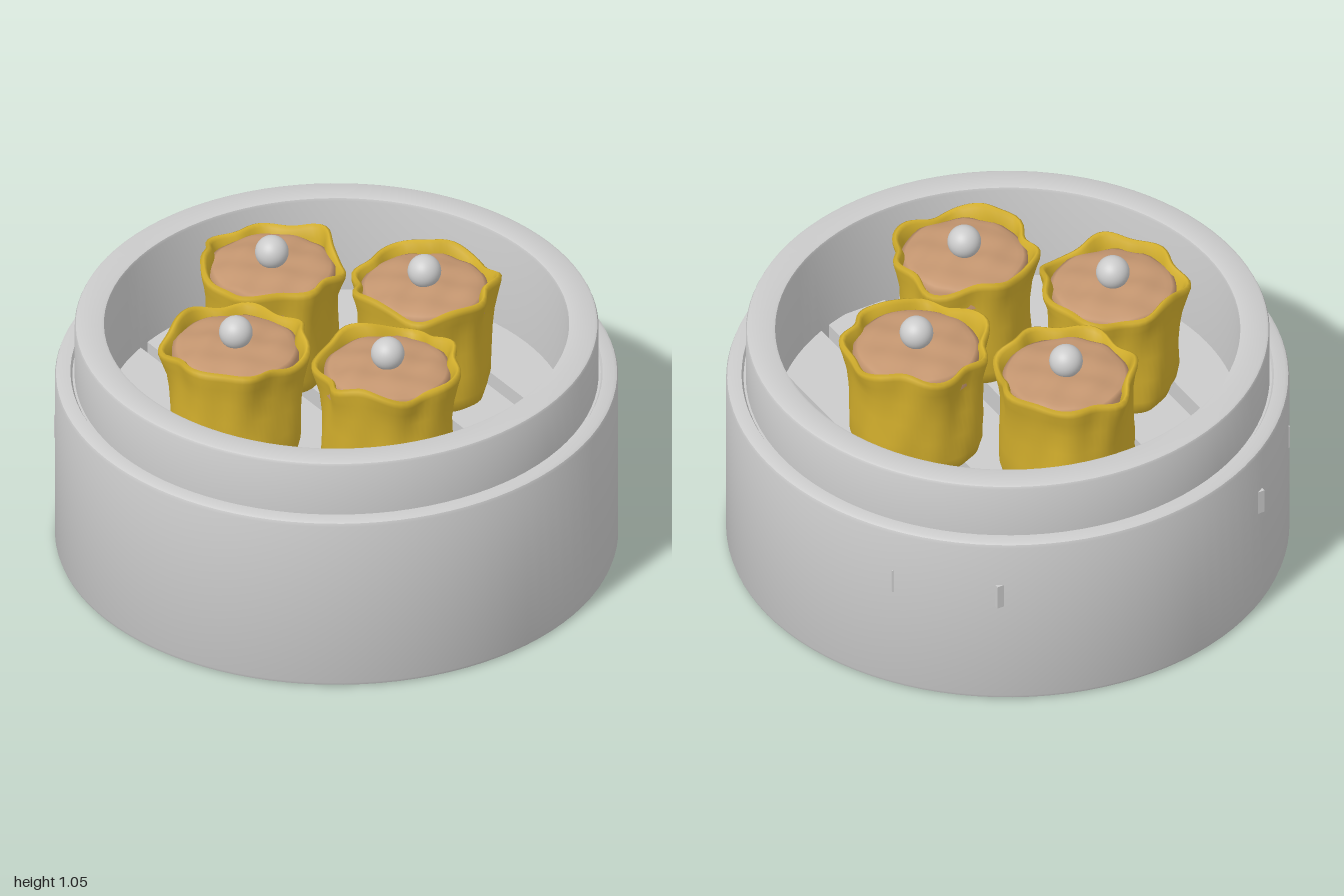
import * as THREE from 'three';
import { mergeVertices, toCreasedNormals } from 'three/addons/utils/BufferGeometryUtils.js';

const grey = new THREE.MeshStandardMaterial({ color: 0xcccccc });
const doughMat = new THREE.MeshStandardMaterial({ color: 0xd2ae2c, side: THREE.DoubleSide });
const meatMat = new THREE.MeshStandardMaterial({ color: 0xc49670 });

function addMesh(parent, name, geometry, material, x = 0, y = 0, z = 0) {
  const mesh = new THREE.Mesh(geometry, material);
  mesh.name = name;
  mesh.position.set(x, y, z);
  parent.add(mesh);
  return mesh;
}

const lathe = (pts, n) => new THREE.LatheGeometry(pts.map(p => new THREE.Vector2(...p)), n);

// Weld a lathe, then move each vertex by rule(radius, angle, y) -> [radius, y]
function warpedLathe(points, segments, rule) {
  let g = lathe(points, segments);
  g.deleteAttribute('uv');
  g.deleteAttribute('normal');
  g = mergeVertices(g, 1e-4);
  const p = g.attributes.position;
  for (let i = 0; i < p.count; i++) {
    const x = p.getX(i), z = p.getZ(i), a = Math.atan2(z, x);
    const [r, y] = rule(Math.hypot(x, z), a, p.getY(i));
    p.setXYZ(i, r * Math.cos(a), y, r * Math.sin(a));
  }
  g.computeVertexNormals();
  return g;
}

// Wrapper: a cup with soft pleats that grow into a wavy, folded lip
function wrapperGeometry(seed) {
  const profile = [[0, 0], [0.19, 0], [0.222, 0.02], [0.235, 0.07], [0.236, 0.16], [0.234, 0.25], [0.236, 0.33],
    [0.246, 0.39], [0.256, 0.43], [0.257, 0.45], [0.245, 0.457], [0.233, 0.445], [0.222, 0.41], [0.215, 0.36]];
  return warpedLathe(profile, 72, (r, a, y) => {
    const k = Math.min(1, r / 0.2), up = THREE.MathUtils.smoothstep(y, 0.25, 0.45);
    const pleat = Math.sin(7 * a + seed + 0.6 * Math.sin(2 * a + seed));
    const crumple = Math.sin(4 * a + seed * 2 + y * 9) * 0.006 + Math.sin(11 * a - seed + y * 14) * 0.003;
    const lip = 0.014 * Math.sin(3 * a + seed) + 0.01 * Math.sin(5 * a - seed * 1.7);
    return [r + k * (crumple + pleat * (0.004 + 0.009 * up)), y + up * lip];
  });
}

// Filling: a lumpy, slightly domed disc
function fillingGeometry(seed) {
  const profile = [[0.228, 0.36], [0.226, 0.42]];
  for (let i = 10; i >= 0; i--) profile.push([0.021 * i, 0.448 - 0.018 * (i / 10) ** 3]);
  return warpedLathe(profile, 48, (r, a, y) => {
    const x = r * Math.cos(a), z = r * Math.sin(a);
    const bump = Math.sin(34 * x + seed) * Math.cos(31 * z - seed) + 0.5 * Math.sin(52 * z + 23 * x + seed);
    return [r, y + 0.005 * bump];
  });
}

function createDumpling(x, z, seed) {
  const dumpling = new THREE.Group();
  dumpling.name = 'dumpling';
  dumpling.position.set(x, 0.505, z);
  addMesh(dumpling, 'wrapper', wrapperGeometry(seed), doughMat);
  addMesh(dumpling, 'filling', fillingGeometry(seed), meatMat);
  addMesh(dumpling, 'toppingBall', new THREE.SphereGeometry(0.06, 32, 20), grey, 0, 0.49, 0);
  return dumpling;
}

export function createModel() {
  const model = new THREE.Group();
  model.name = 'steamerBasket';

  // Round basket: outer band, stepped rim, inner wall and base in one profile
  const wall = lathe([[0, 0], [0.985, 0], [0.996, 0.004], [1, 0.015], [1, 0.67], [0.996, 0.682], [0.985, 0.688],
    [0.945, 0.688], [0.938, 0.675], [0.93, 0.675], [0.93, 0.88], [0.926, 0.889], [0.918, 0.893],
    [0.835, 0.893], [0.826, 0.89], [0.823, 0.88], [0.823, 0.41], [0, 0.41]], 96);
  addMesh(model, 'basket', toCreasedNormals(wall, 0.6), grey);

  // Floor slats; the back corners just reach through the wall
  const slats = new THREE.Group();
  slats.name = 'floorSlats';
  model.add(slats);
  for (const side of [-1, 1]) {
    for (const [x0, x1, back, front] of [[0.03, 0.275, -0.85, 0.8], [0.315, 0.553, -0.85, 0.8], [0.605, 0.823, -0.575, 0.56]]) {
      addMesh(slats, 'slat', new THREE.BoxGeometry(x1 - x0, 0.095, front - back), grey,
        side * (x0 + x1) / 2, 0.46, (front + back) / 2);
    }
  }

  // Four dumplings
  [[-0.42, -0.025], [-0.01, -0.385], [0.36, 0.03], [-0.06, 0.4]].forEach(([x, z], i) =>
    model.add(createDumpling(x, z, 0.7 + i * 1.9)));

  return model;
}
